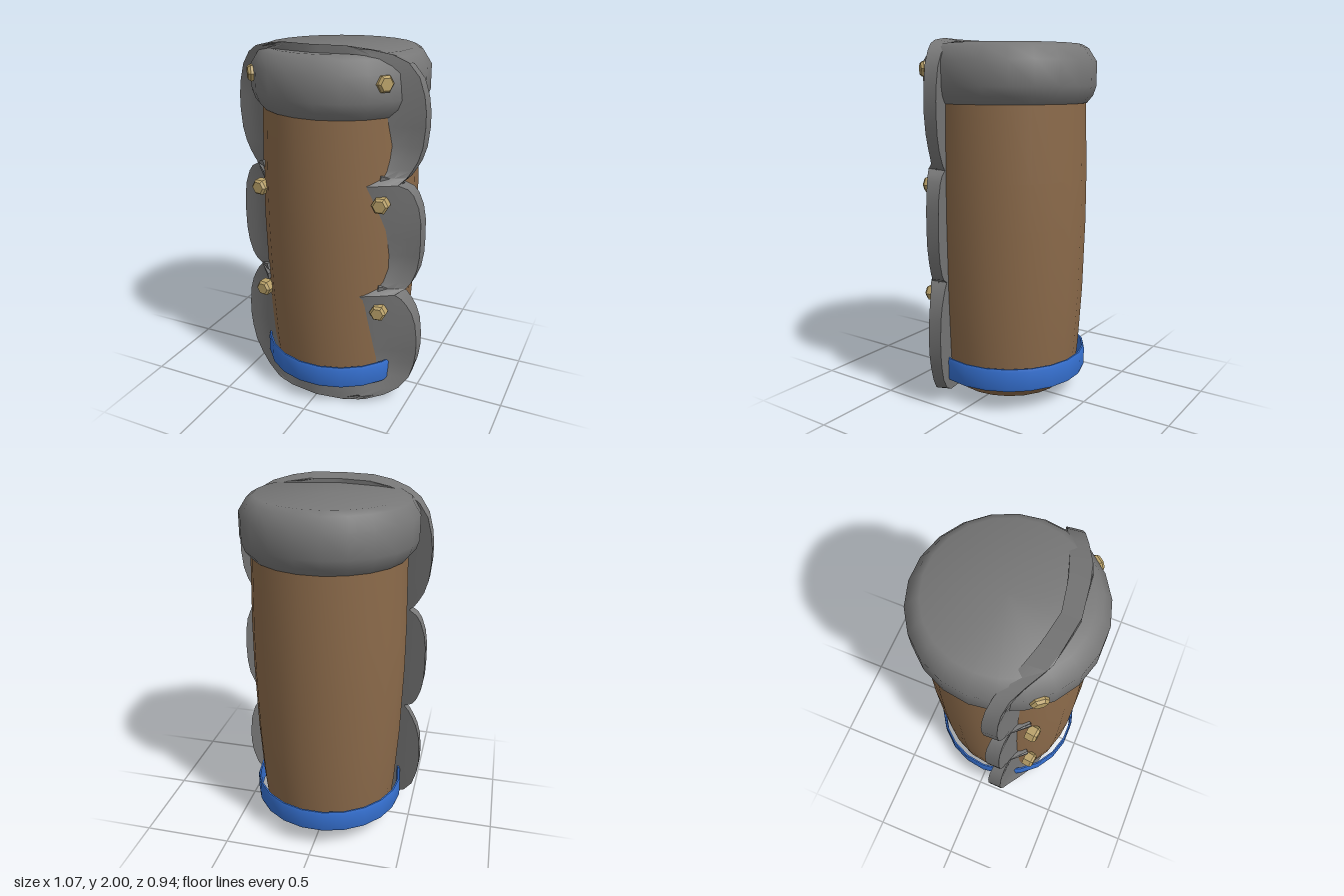
import * as THREE from 'three';
import { toCreasedNormals } from 'three/addons/utils/BufferGeometryUtils.js';

const mat = (color) => new THREE.MeshStandardMaterial({ color });
const metal = mat(0x777777);
metal.side = THREE.DoubleSide;
const wood = mat(0x8b6a4a);
const blue = mat(0x3570d0);
const brass = mat(0xb8a068);

function mesh(name, geometry, material) {
  const m = new THREE.Mesh(geometry, material);
  m.name = name;
  return m;
}

// Turned part with 22 sides from [radius, y] points, bottom to top
function turned(points, crease = 0.8) {
  const pts = points.map(([r, y]) => new THREE.Vector2(r, y));
  return toCreasedNormals(new THREE.LatheGeometry(pts, 22, Math.PI / 2), crease);
}

// Linear interpolation through [position, value] pairs
function lookup(table, t) {
  for (let i = 1; i < table.length; i++) {
    const [a, va] = table[i - 1], [b, vb] = table[i];
    if (t <= b) return va + ((vb - va) * Math.max(0, t - a)) / (b - a);
  }
  return table[table.length - 1][1];
}

// Half width of the plate against distance from mid height
const WIDTH = [[0, 0.535], [0.1, 0.532], [0.18, 0.52], [0.25, 0.495], [0.285, 0.47], [0.31, 0.425],
  [0.34, 0.455], [0.38, 0.48], [0.43, 0.505], [0.5, 0.525], [0.6, 0.535], [0.68, 0.535],
  [0.76, 0.525], [0.85, 0.5], [0.92, 0.45], [0.96, 0.38], [0.985, 0.28], [1, 0.17]];
// Depth of the plate's front and back against |x|
const FRONT = [[0, 0.345], [0.25, 0.31], [0.45, 0.2], [0.54, 0.165]];
const BACK = [[0, 0.25], [0.22, 0.21], [0.45, 0.115], [0.54, 0.083]];

// Each lobe leans: forward at its upper end, back at its lower end
function lean(x, y) {
  const [top, bottom] = y > 1.31 ? [2, 1.31] : y > 0.69 ? [1.31, 0.69] : [0.69, 0];
  const t = (top - y) / (top - bottom);
  const weight = Math.max(0, Math.sin((Math.PI * (Math.abs(x) - 0.1)) / 0.44));
  const fade = Math.min(1, (1 - Math.abs(y - 1)) / 0.2);
  const amount = x > 0 ? lookup([[0, 0.03], [0.75, -0.055], [1, 0]], t) : -0.04;
  return amount * weight * fade;
}

// Scalloped plate: closed cross-sections stacked from bottom to top
function plateGeometry() {
  const half = WIDTH.map(([d]) => d);
  const rows = [...half.slice(1).reverse().map((d) => 1 - d), ...half.map((d) => 1 + d)];
  const cols = 16, ring = 2 * (cols + 1);
  const pos = [], idx = [];
  for (const y of rows) {
    const w = lookup(WIDTH, Math.abs(y - 1));
    for (let i = 0; i <= cols; i++) {
      const x = w * ((2 * i) / cols - 1);
      pos.push(x, y, lookup(FRONT, Math.abs(x)) + lean(x, y));
    }
    for (let i = cols; i >= 0; i--) {
      const x = w * ((2 * i) / cols - 1);
      pos.push(x, 1 + (y - 1) * 0.982, lookup(BACK, Math.abs(x)));
    }
  }
  for (let r = 0; r < rows.length - 1; r++) {
    for (let i = 0; i < ring; i++) {
      const a = r * ring + i, b = r * ring + ((i + 1) % ring);
      idx.push(a, b, b + ring, a, b + ring, a + ring);
    }
  }
  // Close the bottom and top rims
  const last = (rows.length - 1) * ring;
  for (let i = 0; i < cols; i++) {
    const j = ring - 1 - i;
    idx.push(i, j, j - 1, i, j - 1, i + 1);
    idx.push(last + i, last + i + 1, last + j - 1, last + i, last + j - 1, last + j);
  }
  const g = new THREE.BufferGeometry();
  g.setAttribute('position', new THREE.Float32BufferAttribute(pos, 3));
  g.setIndex(idx);
  g.computeVertexNormals();
  return toCreasedNormals(g, 0.6);
}

// Slim pointed fold running from base to tip
function fold(base, tip, radius) {
  const a = new THREE.Vector3(...base), b = new THREE.Vector3(...tip);
  const dir = b.clone().sub(a);
  const g = toCreasedNormals(new THREE.ConeGeometry(radius, dir.length(), 4), 0.3);
  const m = mesh('plateFold', g, metal);
  m.quaternion.setFromUnitVectors(new THREE.Vector3(0, 1, 0), dir.normalize());
  m.position.copy(a).add(b).multiplyScalar(0.5);
  return m;
}

// Hexagonal bolt with a chamfered head facing +z
function boltGeometry() {
  const pts = [[0, -0.035], [0.046, -0.035], [0.046, 0.012], [0.034, 0.026], [0, 0.026]];
  const g = new THREE.LatheGeometry(pts.map(([r, y]) => new THREE.Vector2(r, y)), 6);
  return toCreasedNormals(g.rotateX(Math.PI / 2).rotateZ(Math.PI / 6), 0.3);
}

export function createModel() {
  const group = new THREE.Group();
  group.name = 'canister';

  // Barrel-shaped body
  group.add(mesh('body', turned([[0, 0.036], [0.31, 0.048], [0.385, 0.13], [0.4, 0.27], [0.42, 0.6],
    [0.431, 1], [0.431, 1.25], [0.421, 1.66]], 0.5), wood));

  // Rounded lid
  group.add(mesh('lid', turned([[0, 1.65], [0.425, 1.65], [0.458, 1.69], [0.475, 1.74], [0.475, 1.87],
    [0.43, 1.94], [0.395, 1.96], [0, 1.96]]), metal));

  // Loose band near the foot
  group.add(mesh('band', turned([[0.424, 0.13], [0.433, 0.13], [0.438, 0.145], [0.438, 0.24],
    [0.433, 0.255], [0.424, 0.255], [0.424, 0.13]]), blue));

  group.add(mesh('scallopedPlate', plateGeometry(), metal));

  // Folds in the plate's notches, and bolts, on both sides
  const bolt = boltGeometry();
  for (const s of [-1, 1]) {
    for (const y of [1.31, 0.69]) {
      group.add(fold([s * 0.33, y + 0.03, 0.25], [s * 0.44, y, 0.17], 0.028));
      group.add(fold([s * 0.33, y - 0.03, 0.25], [s * 0.44, y, 0.17], 0.028));
    }
    for (const [x, y, z, turn] of [[0.353, 1.21, 0.29, 0.12], [0.353, 0.595, 0.29, 0.12], [0.365, 1.83, 0.298, 0.9]]) {
      const b = mesh('bolt', bolt, brass);
      b.position.set(s * x, y, z);
      b.rotation.y = s * turn;
      group.add(b);
    }
  }
  return group;
}
